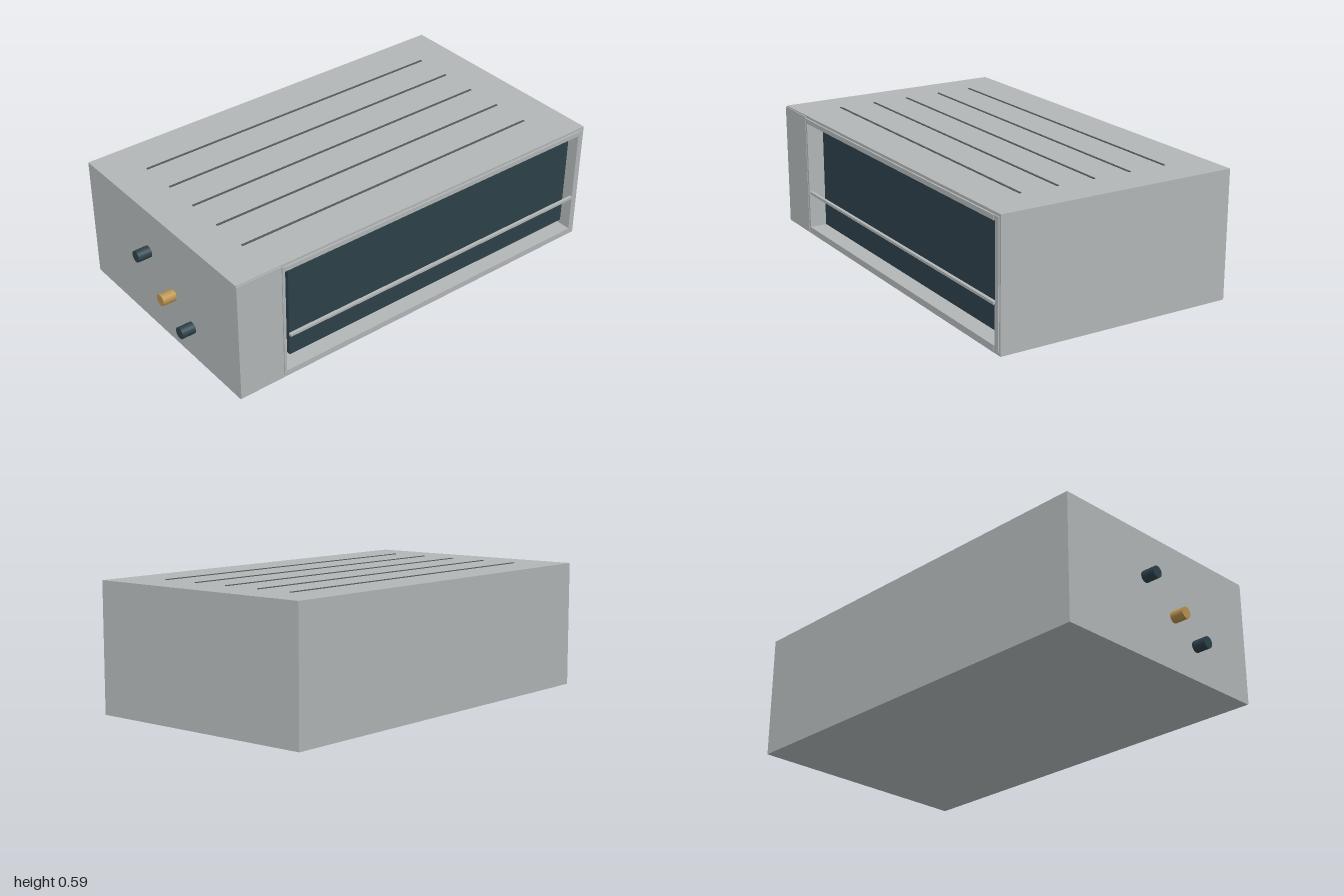
import * as THREE from 'three';

const mat = (name, color) => {
  const m = new THREE.MeshStandardMaterial({ color });
  m.name = name;
  return m;
};

export function createModel() {
  const group = new THREE.Group();
  const steel = mat('galvanised grey', 0xb2b6b6);
  const coil = mat('dark slate', 0x2c4049);
  const brass = mat('brass', 0xb8924e);
  const slot = mat('slot grey', 0x555a5c);

  const add = (name, geo, material) => {
    const mesh = new THREE.Mesh(geo, material);
    mesh.name = name;
    group.add(mesh);
    return mesh;
  };
  // Box given by its limits along each axis
  const box = (name, material, x0, x1, y0, y1, z0, z1) =>
    add(name, new THREE.BoxGeometry(x1 - x0, y1 - y0, z1 - z0), material)
      .position.set((x0 + x1) / 2, (y0 + y1) / 2, (z0 + z1) / 2);
  const rect = (T, x0, x1, y0, y1) => {
    const s = new T();
    s.moveTo(x0, y0);
    s.lineTo(x1, y0);
    s.lineTo(x1, y1);
    s.lineTo(x0, y1);
    s.closePath();
    return s;
  };
  // Rectangular ring between z0 and z1
  const ring = (name, outer, inner, z0, z1) => {
    const shape = rect(THREE.Shape, ...outer);
    shape.holes.push(rect(THREE.Path, ...inner));
    const geo = new THREE.ExtrudeGeometry(shape, { depth: z1 - z0, bevelEnabled: false });
    add(name, geo.translate(0, 0, z0), steel);
  };

  // Casing: solid rear with an open outlet cavity in front
  const outline = [-0.935, 1, 0, 0.587];
  const opening = [-0.7, 0.965, 0.035, 0.555];
  box('casingRear', steel, ...outline, -0.57, 0.4);
  ring('casingFront', outline, opening, 0.4, 0.56);

  // Service panel and thin outlet frame
  box('servicePanel', steel, -0.935, -0.717, 0.005, 0.582, 0.56, 0.565);
  ring('outletFrame', [-0.712, 0.99, 0.015, 0.575], opening, 0.56, 0.565);
  box('lowerRail', steel, -0.7, 0.96, 0.015, 0.037, 0.56, 0.568);
  box('upperRail', steel, -0.7, 0.96, 0.553, 0.575, 0.56, 0.568);

  // Coil and the louvre bar across it
  box('coilPanel', coil, -0.645, 0.962, 0.057, 0.53, 0.49, 0.51);
  box('louvreBar', steel, -0.68, 0.962, 0.208, 0.22, 0.555, 0.57);

  // Vent slots on top
  for (let i = 0; i < 5; i++) {
    const z = 0.355 - i * 0.18;
    box('topSlot', slot, -0.76, 0.82, 0.585, 0.59, z - 0.005, z + 0.005);
  }

  // Pipe connections on the side
  const pipes = [
    ['upperPipe', coil, 0.375, -0.1],
    ['brassPipe', brass, 0.25, 0.078],
    ['lowerPipe', coil, 0.16, 0.216],
  ];
  for (const [name, material, y, z] of pipes) {
    const geo = new THREE.CylinderGeometry(0.027, 0.027, 0.07, 24).rotateZ(Math.PI / 2);
    add(name, geo, material).position.set(-0.965, y, z);
  }
  return group;
}
